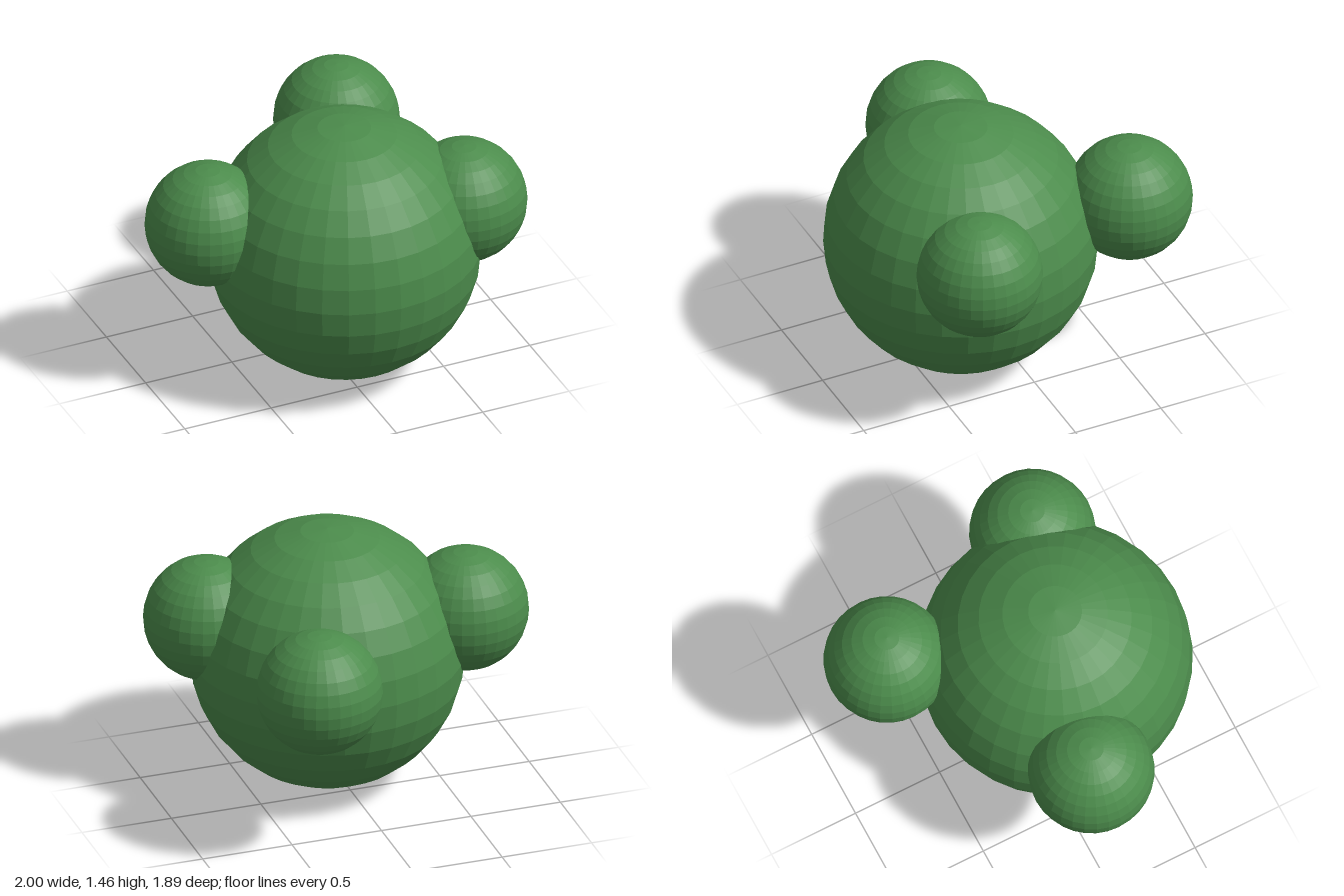
import * as THREE from 'three';

export function createModel() {
  const model = new THREE.Group();
  const green = new THREE.MeshStandardMaterial({ color: 0x4c8c4c, flatShading: true });

  const addBall = (name, radius, x, y, z) => {
    const ball = new THREE.Mesh(new THREE.SphereGeometry(radius, 32, 16), green);
    ball.name = name;
    ball.position.set(x, y, z);
    model.add(ball);
  };

  // Large body resting on the ground
  addBall('body', 0.728, 0.054, 0.73, 0.216);

  // Three smaller balls sunk into its upper sides
  const budRadius = 0.335, budHeight = 0.945;
  addBall('rightBud', budRadius, -0.665, budHeight, 0.057);
  addBall('leftBud', budRadius, 0.665, budHeight, 0.4);
  addBall('backBud', budRadius, 0.385, budHeight, -0.613);

  return model;
}
